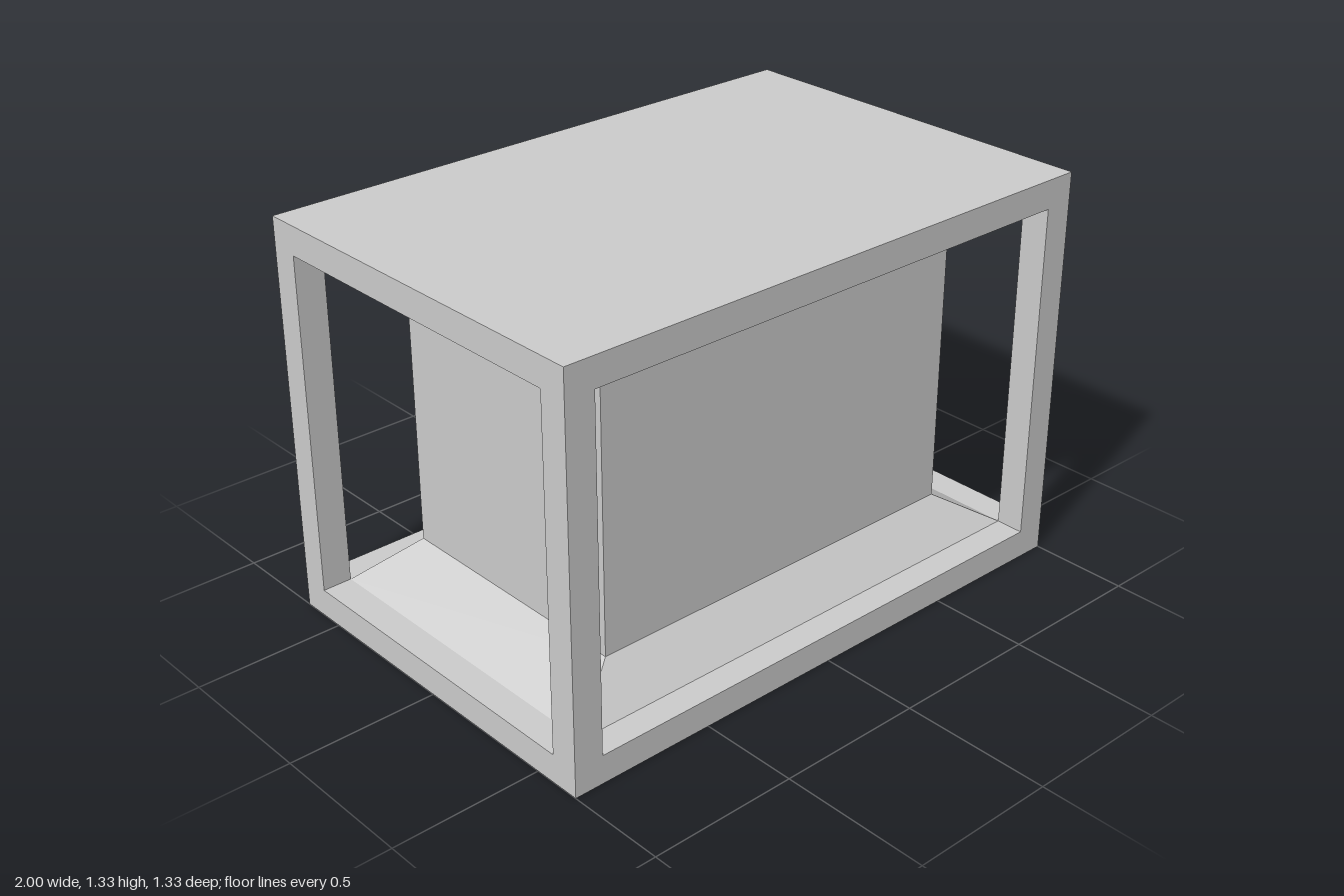
import * as THREE from 'three';

const W = 2, H = 1.333, D = 1.333; // outer block
const BX = 0.1, B = 0.096;         // border widths along x, and along y and z
const CORE_X = 0.7, CORE_Z = 0.445, CORE_Y = 0.222; // core half sizes and base height

export function createModel() {
  const group = new THREE.Group();
  const grey = new THREE.MeshStandardMaterial({ color: 0xcccccc });
  grey.name = 'light grey';

  const add = (name, geometry, x, y, z) => {
    const mesh = new THREE.Mesh(geometry, grey);
    mesh.name = name;
    mesh.position.set(x, y, z);
    group.add(mesh);
    return mesh;
  };

  // Floor and roof slabs
  add('floorSlab', new THREE.BoxGeometry(W, B, D), 0, B / 2, 0);
  add('roofSlab', new THREE.BoxGeometry(W, B, D), 0, H - B / 2, 0);

  // Corner posts
  for (const sx of [-1, 1]) for (const sz of [-1, 1]) {
    add('cornerPost', new THREE.BoxGeometry(BX, H - 2 * B, B),
      sx * (W - BX) / 2, H / 2, sz * (D - B) / 2);
  }

  // Sloped collars: boxes tapered from the frame opening to the core
  const collarHeight = CORE_Y - B;
  const openX = W / 2 - BX, openZ = D / 2 - B;
  const collar = (name, y, narrowEnd) => {
    const g = new THREE.BoxGeometry(2 * openX, collarHeight, 2 * openZ);
    const p = g.attributes.position;
    for (let i = 0; i < p.count; i++) {
      if (p.getY(i) * narrowEnd > 0) {
        p.setX(i, Math.sign(p.getX(i)) * CORE_X);
        p.setZ(i, Math.sign(p.getZ(i)) * CORE_Z);
      }
    }
    g.computeVertexNormals();
    add(name, g, 0, y, 0);
  };
  collar('lowerCollar', B + collarHeight / 2, 1);
  collar('upperCollar', H - B - collarHeight / 2, -1);

  // Inner core
  add('core', new THREE.BoxGeometry(2 * CORE_X, H - 2 * CORE_Y, 2 * CORE_Z), 0, H / 2, 0);

  return group;
}
